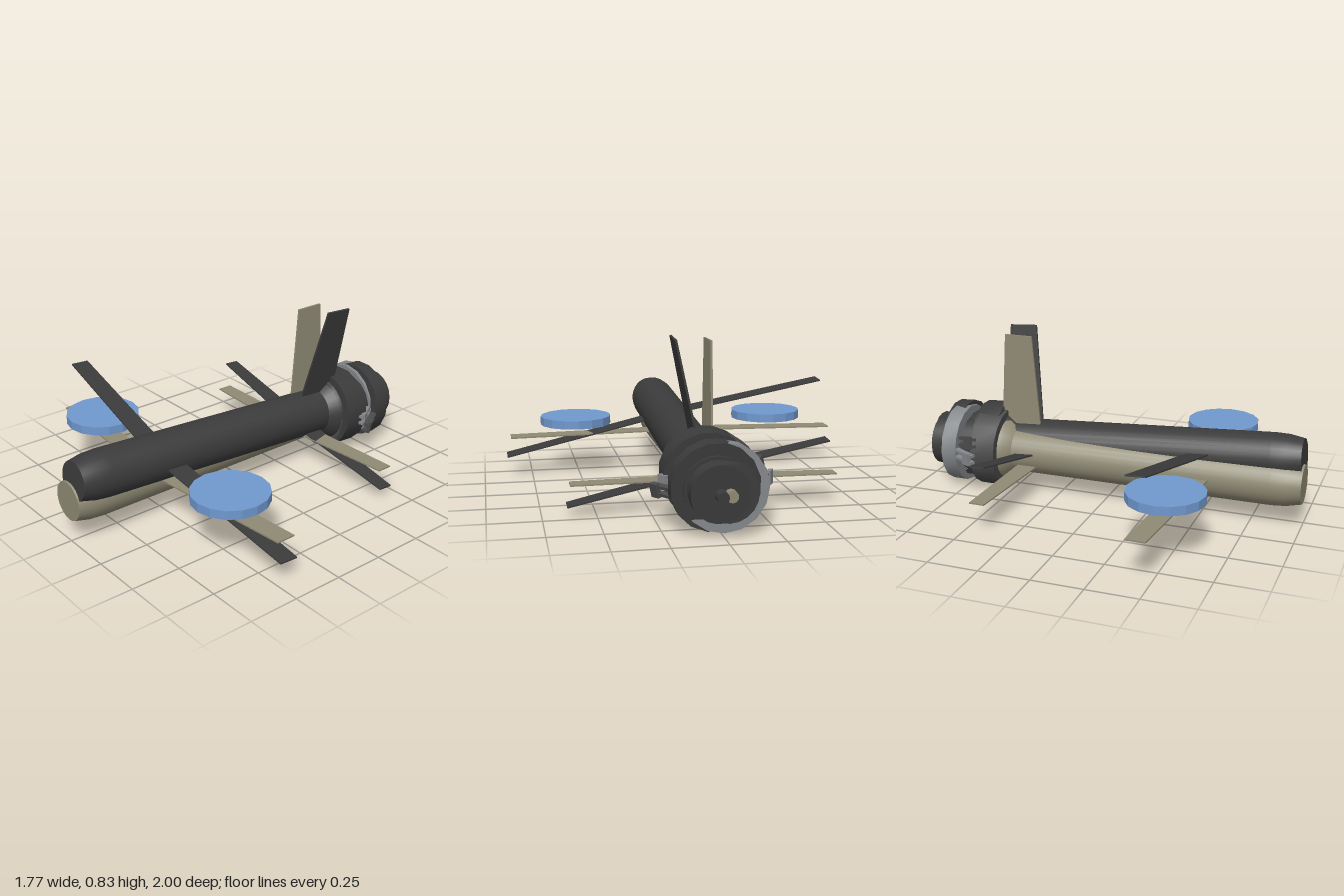
import * as THREE from 'three';
import { toCreasedNormals } from 'three/addons/utils/BufferGeometryUtils.js';

const mat = (name, color) => Object.assign(new THREE.MeshStandardMaterial({ color }), { name });
const tan = mat('tan', 0x8f8a74);
const charcoal = mat('charcoal', 0x3b3b3b);
const darkGrey = mat('darkGrey', 0x4b4b4c);
const grey = mat('grey', 0x85888c);
const blue = mat('blue', 0x7098ce);

function add(group, name, geometry, material) {
  const mesh = new THREE.Mesh(geometry, material);
  mesh.name = name;
  group.add(mesh);
  return mesh;
}

// Solid turned around the z axis from [radius, z] pairs, listed rear to front
function turned(points, sides) {
  const g = new THREE.LatheGeometry(points.map(([r, z]) => new THREE.Vector2(r, z)), sides);
  g.rotateX(Math.PI / 2);
  return toCreasedNormals(g, 0.5);
}

// Thin flat plate lying in the xz plane from [x, z] corners
function plate(corners, thickness) {
  const shape = new THREE.Shape(corners.map(([x, z]) => new THREE.Vector2(x, -z)));
  const g = new THREE.ExtrudeGeometry(shape, { depth: thickness, bevelEnabled: false });
  g.translate(0, 0, -thickness / 2);
  return g.rotateX(-Math.PI / 2);
}

// Swept surface spanning both sides
function wing(half, le, te, leTip, teTip) {
  return plate([[0, le], [half, leTip], [half, teTip], [0, te], [-half, teTip], [-half, leTip]], 0.007);
}

function aircraft(name, skin, ringSkin, ductSkin, strutSkin) {
  const g = new THREE.Group();
  g.name = name;

  // Fuselage with blunt nose and flared rear collar
  add(g, 'fuselage', turned([[0, -0.56], [0.165, -0.56], [0.155, -0.53], [0.118, -0.49],
    [0.118, 0.85], [0.113, 0.92], [0.096, 0.995], [0, 0.995]], 28), skin);

  // Lifting surfaces
  add(g, 'mainWing', wing(0.872, 0.56, 0.45, 0.485, 0.39), skin);
  add(g, 'tailplane', wing(0.633, -0.35, -0.455, -0.39, -0.466), skin).position.y = -0.055;
  const fin = plate([[0.08, -0.365], [0.605, -0.41], [0.605, -0.555], [0.08, -0.585]], 0.01);
  add(g, 'fin', fin.rotateZ(Math.PI / 2), skin);

  // Rear engine: front ring, core, duct ring, end drum
  add(g, 'engineRing', turned([[0, -0.68], [0.203, -0.68], [0.203, -0.55], [0, -0.55]], 16), ringSkin);
  add(g, 'engineCore', turned([[0, -0.8], [0.145, -0.8], [0.145, -0.66], [0, -0.66]], 16), charcoal);
  add(g, 'ductRing', turned([[0.13, -0.845], [0.2, -0.845], [0.2, -0.765], [0.13, -0.765]], 16), ductSkin);
  add(g, 'endDrum', turned([[0, -0.94], [0.13, -0.94], [0.13, -0.86], [0.145, -0.86],
    [0.145, -0.8], [0, -0.8]], 20), charcoal);
  add(g, 'hub', turned([[0, -0.993], [0.027, -0.993], [0.027, -0.93], [0, -0.93]], 10), skin);

  // Slanted side brackets
  for (const side of [-1, 1]) {
    const bracket = new THREE.Group();
    bracket.name = side > 0 ? 'leftBracket' : 'rightBracket';
    bracket.position.set(side * 0.215, 0, -0.705);
    bracket.rotation.y = side * 0.5;
    for (const y of [-0.018, 0.018]) {
      add(bracket, 'bracketArm', new THREE.BoxGeometry(0.03, 0.014, 0.14), strutSkin).position.y = y;
    }
    add(bracket, 'bracketPlate', new THREE.BoxGeometry(0.02, 0.065, 0.05), strutSkin)
      .position.set(side * 0.012, 0, 0.035);
    g.add(bracket);
  }
  return g;
}

export function createModel() {
  const model = new THREE.Group();
  model.name = 'pairedAircraft';

  // Level aircraft
  const level = aircraft('levelAircraft', tan, darkGrey, grey, grey);
  level.position.set(-0.013, 0.21, 0);
  model.add(level);

  // Rotor discs above its wings
  for (const side of [-1, 1]) {
    const disc = toCreasedNormals(new THREE.CylinderGeometry(0.187, 0.187, 0.044, 16), 0.3);
    add(level, side > 0 ? 'leftRotorDisc' : 'rightRotorDisc', disc, blue)
      .position.set(side * 0.525, 0.078, 0.465);
  }

  // Rolled and pitched aircraft overlapping it
  const tilted = aircraft('tiltedAircraft', charcoal, charcoal, charcoal, darkGrey);
  tilted.position.set(0.028, 0.268, -0.01);
  tilted.rotation.set(-0.061, 0, -0.212);
  model.add(tilted);

  return model;
}
